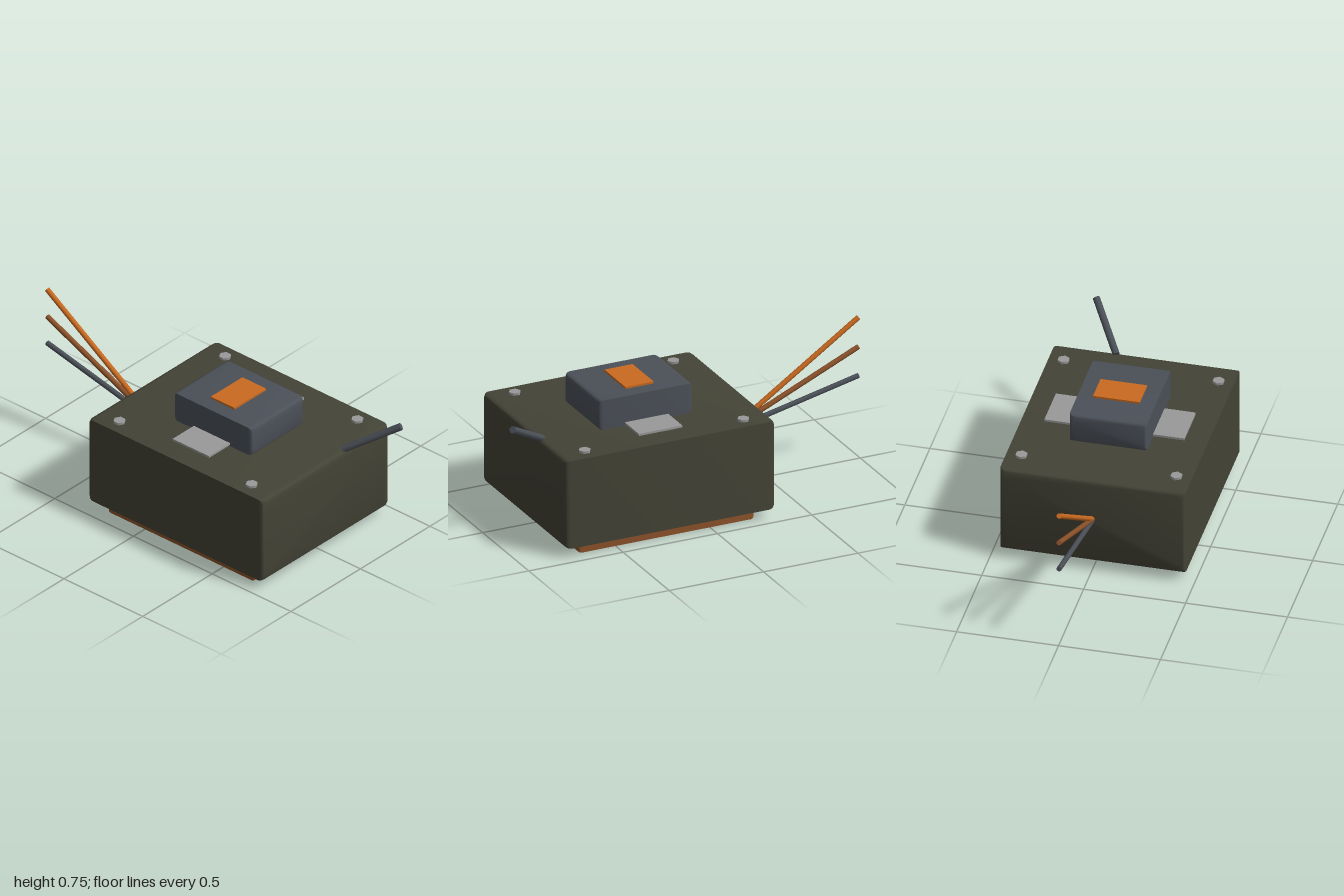
import * as THREE from 'three';
import { toCreasedNormals } from 'three/addons/utils/BufferGeometryUtils.js';

const mat = (name, color) => {
  const m = new THREE.MeshStandardMaterial({ color });
  m.name = name;
  return m;
};

// Block whose front and back rims are rounded and whose end faces have cut corners
function bevelledBlock(w, h, d, r) {
  const steps = 3, rings = [], pos = [], idx = [];
  const ring = (t, side) => {
    const a = (t * Math.PI) / 2;
    const inset = r * (1 - Math.cos(a)) * 0.6;
    const cut = r * (1 - Math.cos(a));
    const x = w / 2 - inset, y = h / 2 - inset;
    const z = side * (d / 2 - r * (1 - Math.sin(a)));
    return [
      [x, y - cut], [x - cut, y], [-x + cut, y], [-x, y - cut],
      [-x, -y + cut], [-x + cut, -y], [x - cut, -y], [x, -y + cut],
    ].map(([px, py]) => [px, py, z]);
  };
  for (let i = steps; i >= 0; i--) rings.push(ring(i / steps, -1));
  for (let i = 0; i <= steps; i++) rings.push(ring(i / steps, 1));
  rings.forEach((p) => pos.push(...p.flat()));
  for (let k = 0; k < rings.length - 1; k++) {
    for (let i = 0; i < 8; i++) {
      const a = k * 8 + i, b = k * 8 + ((i + 1) % 8);
      idx.push(a, b, b + 8, a, b + 8, a + 8);
    }
  }
  const last = (rings.length - 1) * 8;
  for (let i = 1; i < 7; i++) {
    idx.push(0, i + 1, i);
    idx.push(last, last + i, last + i + 1);
  }
  const g = new THREE.BufferGeometry();
  g.setAttribute('position', new THREE.Float32BufferAttribute(pos, 3));
  g.setIndex(idx);
  return toCreasedNormals(g, 0.7);
}

export function createModel() {
  const model = new THREE.Group();
  model.name = 'wiredBox';

  const olive = mat('olive', 0x434336);
  const slate = mat('slate', 0x4b5058);
  const orange = mat('orange', 0xc96a20);
  const brown = mat('brown', 0x8c522a);
  const grey = mat('grey', 0x999999);

  const add = (name, geometry, material, x, y, z) => {
    const mesh = new THREE.Mesh(geometry, material);
    mesh.name = name;
    mesh.position.set(x, y, z);
    model.add(mesh);
    return mesh;
  };

  // Straight rod between two points
  const rod = (name, from, to, radius, material) => {
    const a = new THREE.Vector3(...from), b = new THREE.Vector3(...to);
    const dir = b.clone().sub(a);
    const mid = a.clone().add(b).multiplyScalar(0.5);
    const g = new THREE.CylinderGeometry(radius, radius, dir.length(), 8);
    const mesh = add(name, g, material, mid.x, mid.y, mid.z);
    mesh.quaternion.setFromUnitVectors(new THREE.Vector3(0, 1, 0), dir.normalize());
  };

  // Main body on its base slab, with the raised housing on top
  add('base', bevelledBlock(0.836, 0.05, 0.93, 0.015), brown, 0, 0.025, 0.23);
  add('body', bevelledBlock(0.91, 0.456, 1.11, 0.028), olive, 0, 0.277, 0.225);
  add('housing', bevelledBlock(0.38, 0.153, 0.495, 0.024), slate, 0, 0.581, 0.228);

  // Label plate on the housing and the strap passing beneath it
  add('labelPlate', new THREE.BoxGeometry(0.228, 0.011, 0.15), orange, 0, 0.6625, 0.225);
  add('strap', new THREE.BoxGeometry(0.686, 0.011, 0.23), grey, 0, 0.517, 0.225);

  // Corner screws
  for (const x of [-0.38, 0.38]) {
    for (const z of [-0.195, 0.645]) {
      add('screw', new THREE.CylinderGeometry(0.03, 0.03, 0.012, 6), grey, x, 0.511, z);
    }
  }

  // Front lever
  rod('lever', [0.15, 0.505, 0.76], [0.304, 0.655, 0.99], 0.018, slate);

  // Three wires fanning out of the back
  rod('upperWire', [0, 0.285, -0.32], [0, 0.735, -0.99], 0.013, orange);
  rod('middleWire', [0, 0.285, -0.32], [0, 0.582, -0.99], 0.013, brown);
  rod('lowerWire', [0, 0.28, -0.32], [0, 0.432, -0.99], 0.013, slate);

  return model;
}
